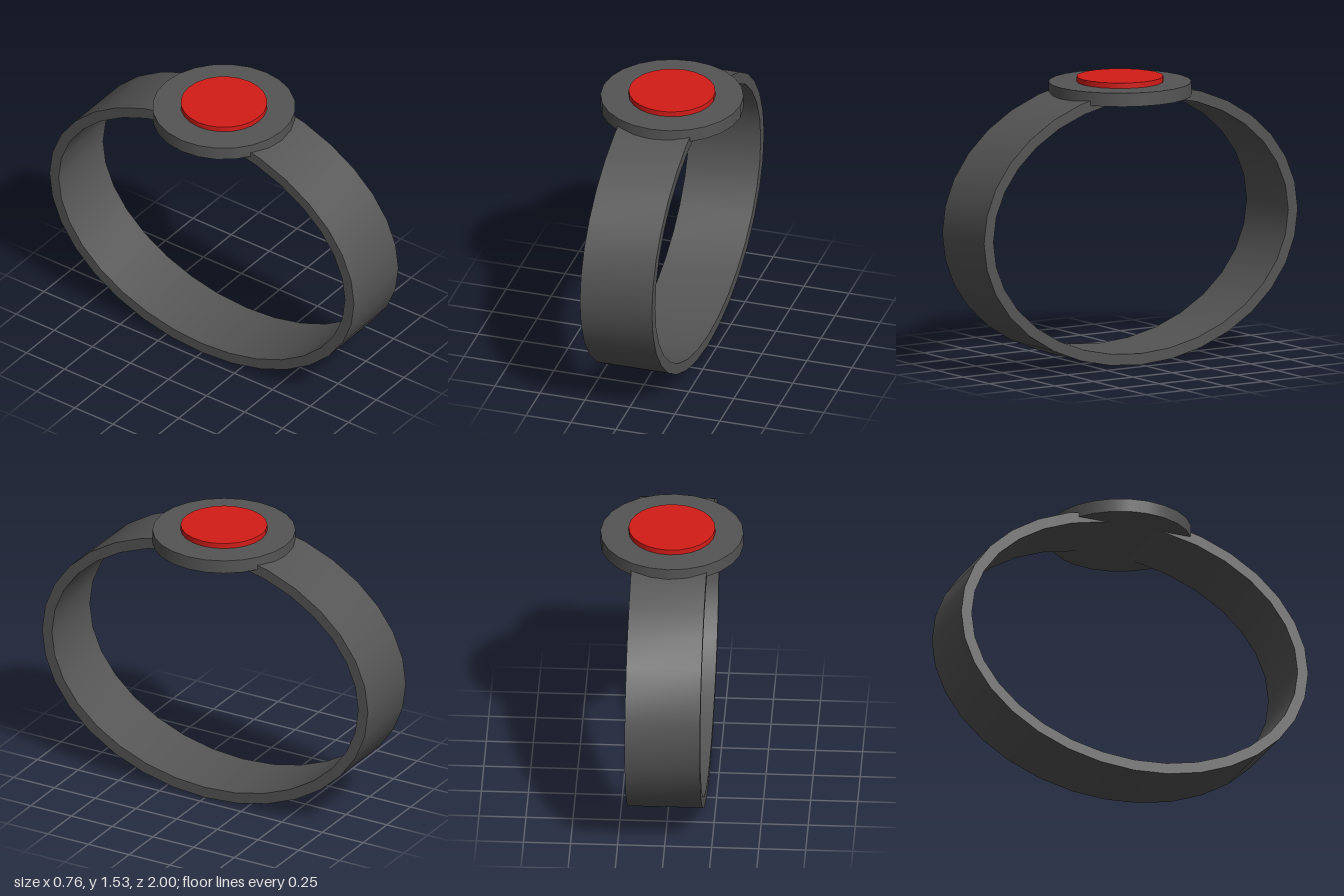
import * as THREE from 'three';
import { toCreasedNormals } from 'three/addons/utils/BufferGeometryUtils.js';

const dark = new THREE.MeshStandardMaterial({ color: 0x555555 });
const red = new THREE.MeshStandardMaterial({ color: 0xd41c18 });

// Points of an ellipse with 32 straight sides
function ellipse(rx, ry, sides = 32) {
  return Array.from({ length: sides }, (_, i) => {
    const a = (i / sides) * Math.PI * 2;
    return new THREE.Vector2(Math.cos(a) * rx, Math.sin(a) * ry);
  });
}

function disc(name, radius, bottom, top, sides, material) {
  const geometry = new THREE.CylinderGeometry(radius, radius, top - bottom, sides);
  const mesh = new THREE.Mesh(geometry, material);
  mesh.name = name;
  mesh.position.y = (bottom + top) / 2;
  return mesh;
}

export function createModel() {
  const group = new THREE.Group();
  group.name = 'wristBand';

  // Oval strap, extruded across the width
  const radiusY = 0.747, thickness = 0.06, width = 0.4;
  const shape = new THREE.Shape(ellipse(1, radiusY));
  shape.holes.push(new THREE.Path(ellipse(1 - thickness, radiusY - thickness)));
  const bandGeometry = new THREE.ExtrudeGeometry(shape, { depth: width, bevelEnabled: false });
  bandGeometry.translate(0, radiusY, -width / 2);
  bandGeometry.rotateY(Math.PI / 2);
  const band = new THREE.Mesh(toCreasedNormals(bandGeometry, Math.PI / 5), dark);
  band.name = 'strap';
  group.add(band);

  // Round case and raised red face
  group.add(disc('case', 0.38, 1.425, 1.498, 24, dark));
  group.add(disc('redFace', 0.23, 1.47, 1.527, 24, red));

  return group;
}
